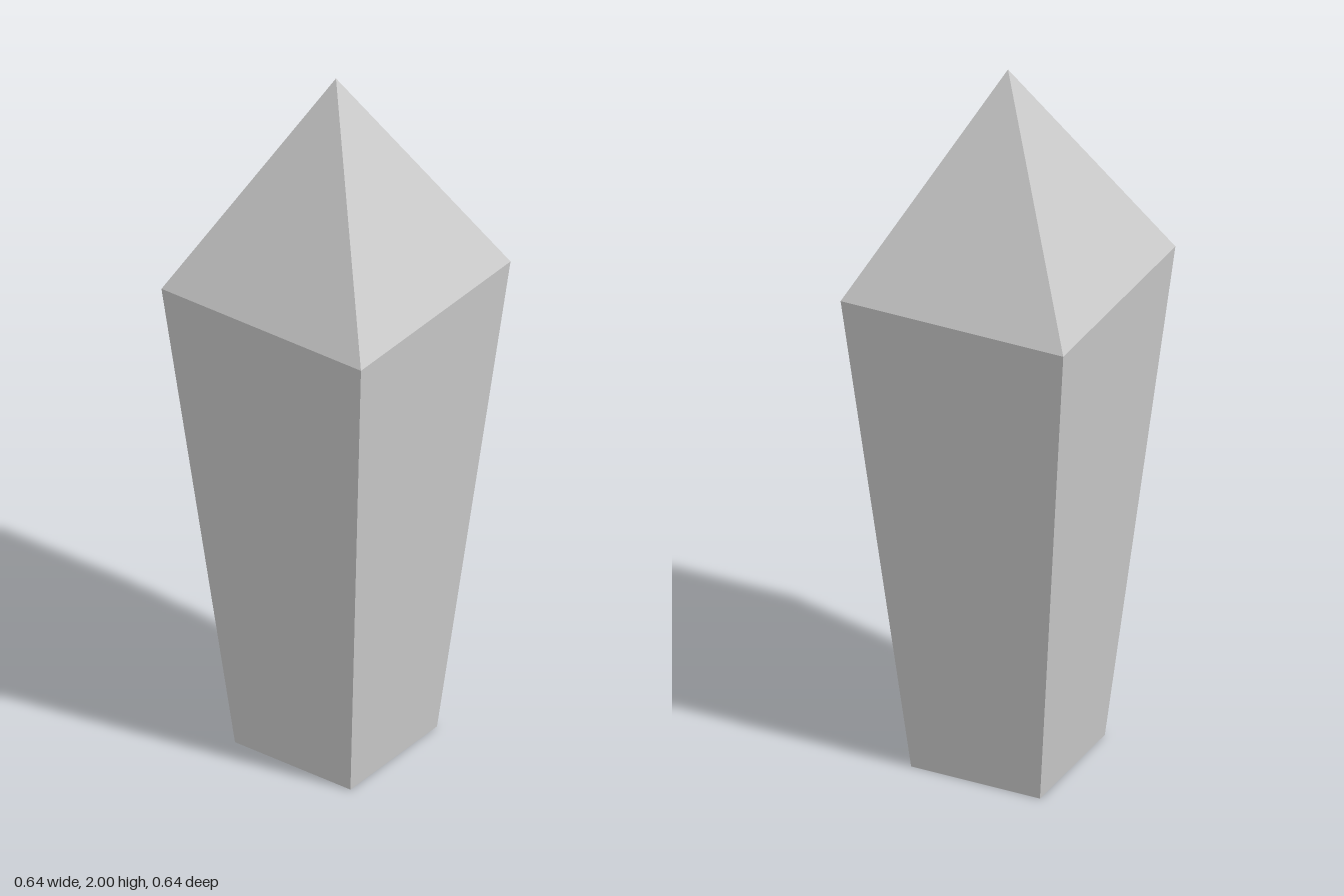
import * as THREE from 'three';

const SIDES = 4;
const CORNER = Math.PI / 4; // turns the flat sides to face the axes
const BASE_HALF = 0.184, SHOULDER_HALF = 0.318;
const SHOULDER_Y = 1.4, TOP_Y = 2;

// Corner radius of a square with the given half width
const radius = (half) => half * Math.SQRT2;

export function createModel() {
  const model = new THREE.Group();
  model.name = 'crystal';
  const material = new THREE.MeshStandardMaterial({ color: 0xcccccc, flatShading: true });

  // Tapered shaft with a closed base, widening up to the shoulder
  const profile = [
    new THREE.Vector2(0, 0),
    new THREE.Vector2(radius(BASE_HALF), 0),
    new THREE.Vector2(radius(SHOULDER_HALF), SHOULDER_Y),
  ];
  const shaft = new THREE.Mesh(new THREE.LatheGeometry(profile, SIDES, CORNER), material);
  shaft.name = 'shaft';

  // Pyramid point, open underneath where it meets the shaft
  const height = TOP_Y - SHOULDER_Y;
  const tip = new THREE.Mesh(
    new THREE.ConeGeometry(radius(SHOULDER_HALF), height, SIDES, 1, true, CORNER),
    material
  );
  tip.name = 'tip';
  tip.position.y = SHOULDER_Y + height / 2;

  model.add(shaft, tip);
  return model;
}
